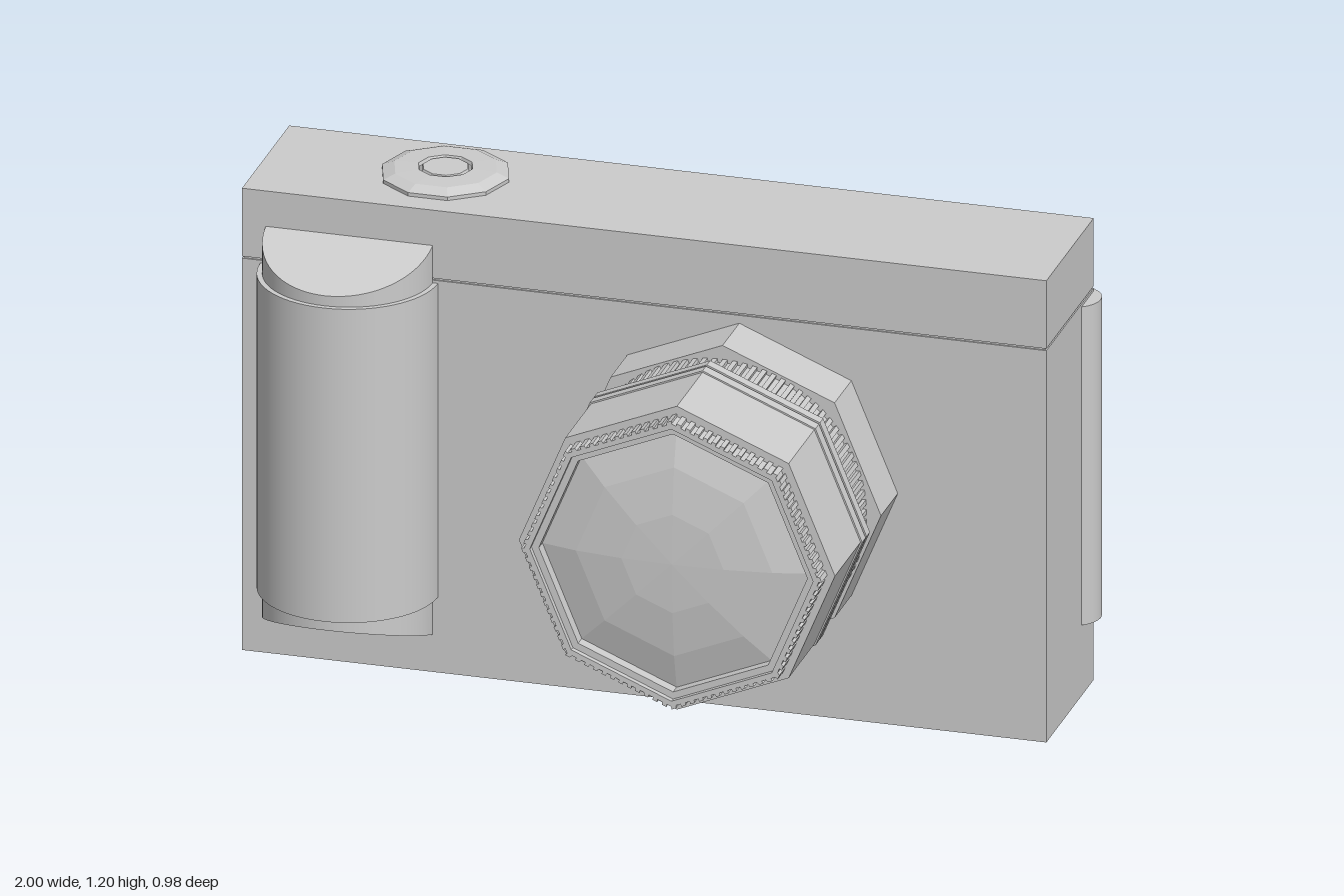
import * as THREE from 'three';

const smooth = new THREE.MeshStandardMaterial({ color: 0xcccccc });
const faceted = new THREE.MeshStandardMaterial({ color: 0xcccccc, flatShading: true });

const BACK = -0.465, FRONT = -0.073;      // body faces in z
const LENS = { x: 0.215, y: 0.59 };       // lens axis

export function createModel() {
  const model = new THREE.Group();
  model.name = 'camera';

  const add = (name, geometry, material = faceted, parent = model) => {
    const mesh = new THREE.Mesh(geometry, material);
    mesh.name = name;
    parent.add(mesh);
    return mesh;
  };
  // Box given by its minimum and maximum corners
  const box = (name, [x0, y0, z0], [x1, y1, z1]) =>
    add(name, new THREE.BoxGeometry(x1 - x0, y1 - y0, z1 - z0)
      .translate((x0 + x1) / 2, (y0 + y1) / 2, (z0 + z1) / 2));
  const lathe = (points, sides) =>
    new THREE.LatheGeometry(points.map(([r, h]) => new THREE.Vector2(r, h)), sides);

  // Body halves with a thin seam between them
  box('lowerBody', [-1, 0, BACK], [0.965, 0.997, FRONT]);
  box('seam', [-0.996, 0.99, BACK + 0.004], [0.961, 1.01, FRONT - 0.004]);
  box('topPlate', [-1, 1.002, BACK], [0.965, 1.175, FRONT]);

  // Hand grip: half cylinder with sloping end caps
  const grip = new THREE.Group();
  grip.name = 'grip';
  grip.position.set(-0.738, 0, FRONT);
  model.add(grip);
  const halfCylinder = (r, y0, y1) =>
    new THREE.CylinderGeometry(r, r, y1 - y0, 32, 1, false, -Math.PI / 2, Math.PI)
      .translate(0, (y0 + y1) / 2, 0);
  add('gripBarrel', halfCylinder(0.217, 0.192, 0.99), smooth, grip);
  for (const side of [1, -1]) {
    const cap = halfCylinder(0.204, 0.59, 0.59 + 0.495);
    const p = cap.attributes.position;
    // Lower the end towards the front
    for (let i = 0; i < p.count; i++) {
      if (p.getY(i) > 0.6) p.setY(i, 1.085 - 0.34 * p.getZ(i));
    }
    if (side < 0) cap.rotateZ(Math.PI).translate(0, 1.18, 0);
    cap.computeVertexNormals();
    add(side > 0 ? 'gripTopCap' : 'gripBottomCap', cap, smooth, grip);
  }

  // Shutter button
  const button = add('shutterButton', lathe([
    [0.155, 1.17], [0.155, 1.184], [0.125, 1.196], [0.066, 1.198],
    [0.063, 1.19], [0.058, 1.19], [0.055, 1.197], [0, 1.197]], 10));
  button.rotation.y = Math.PI / 2;
  button.position.set(-0.565, 0, -0.285);

  // Hinge of the back door
  add('hinge', new THREE.CylinderGeometry(0.066, 0.066, 0.81, 24)
    .translate(0.93, 0.585, -0.42), smooth);

  // Back screen frame, bevelled outside and inside
  const rect = (Type, x0, y0, x1, y1) => new Type([[x0, y0], [x1, y0], [x1, y1], [x0, y1]]
    .map(([x, y]) => new THREE.Vector2(x, y)));
  const frame = rect(THREE.Shape, -0.49, 0.068, 0.845, 1.045);
  frame.holes.push(rect(THREE.Path, -0.37, 0.137, 0.743, 0.953));
  add('screenFrame', new THREE.ExtrudeGeometry(frame, {
    depth: 0.01, bevelEnabled: true, bevelSegments: 1, bevelThickness: 0.022, bevelSize: 0.03,
  }).translate(0, 0, BACK));
  box('screen', [-0.36, 0.147, BACK - 0.002], [0.733, 0.943, BACK + 0.01]);

  // Lens, built along z
  const lens = new THREE.Group();
  lens.name = 'lens';
  lens.position.set(LENS.x, LENS.y, 0);
  model.add(lens);
  const octagon = (points) => lathe(points, 8).rotateX(Math.PI / 2);

  add('lensMount', octagon([[0.387, -0.08], [0.387, 0.066], [0, 0.066]]), faceted, lens);
  add('lensBarrel', octagon([
    [0, 0.168], [0.39, 0.168], [0.39, 0.195], [0.378, 0.195], [0.378, 0.203],
    [0.39, 0.203], [0.39, 0.232], [0.386, 0.232], [0.386, 0.444], [0, 0.444]]), faceted, lens);

  // Ribbed band: teeth around an outline radius(angle), with an optional hole
  const ribbedBand = (teeth, depth, radius, groove, hole) => {
    const points = [];
    for (let i = 0; i < teeth * 4; i++) {
      const a = (Math.floor(i / 2) + (i % 2) * 0.96) / (teeth * 2) * Math.PI * 2;
      const r = radius(a) - (Math.floor(i / 2) % 2 ? groove : 0);
      points.push(new THREE.Vector2(r * Math.cos(a), r * Math.sin(a)));
    }
    const shape = new THREE.Shape(points);
    if (hole) {
      shape.holes.push(new THREE.Path(Array.from({ length: 8 }, (_, i) =>
        new THREE.Vector2(hole * Math.cos(i * Math.PI / 4), hole * Math.sin(i * Math.PI / 4)))));
    }
    return new THREE.ExtrudeGeometry(shape, { depth, bevelEnabled: false });
  };
  const octagonRadius = (r) => (a) => {
    const step = Math.PI / 4;
    const offset = ((a % step) + step) % step - step / 2;
    return r * Math.cos(step / 2) / Math.cos(offset);
  };
  add('focusRing', ribbedBand(90, 0.11, () => 0.352, 0.009).translate(0, 0, 0.062), faceted, lens);
  add('frontRing', ribbedBand(96, 0.05, octagonRadius(0.367), 0.007, 0.346)
    .translate(0, 0, 0.44), faceted, lens);

  // Front glass: shallow faceted dome inside a stepped rim
  add('glassRim', octagon([[0.348, 0.44], [0.348, 0.476], [0.328, 0.476], [0.328, 0.445]]), faceted, lens);
  add('frontGlass', octagon([
    [0.33, 0.446], [0.24, 0.468], [0.125, 0.482], [0, 0.486]]), faceted, lens);

  return model;
}
